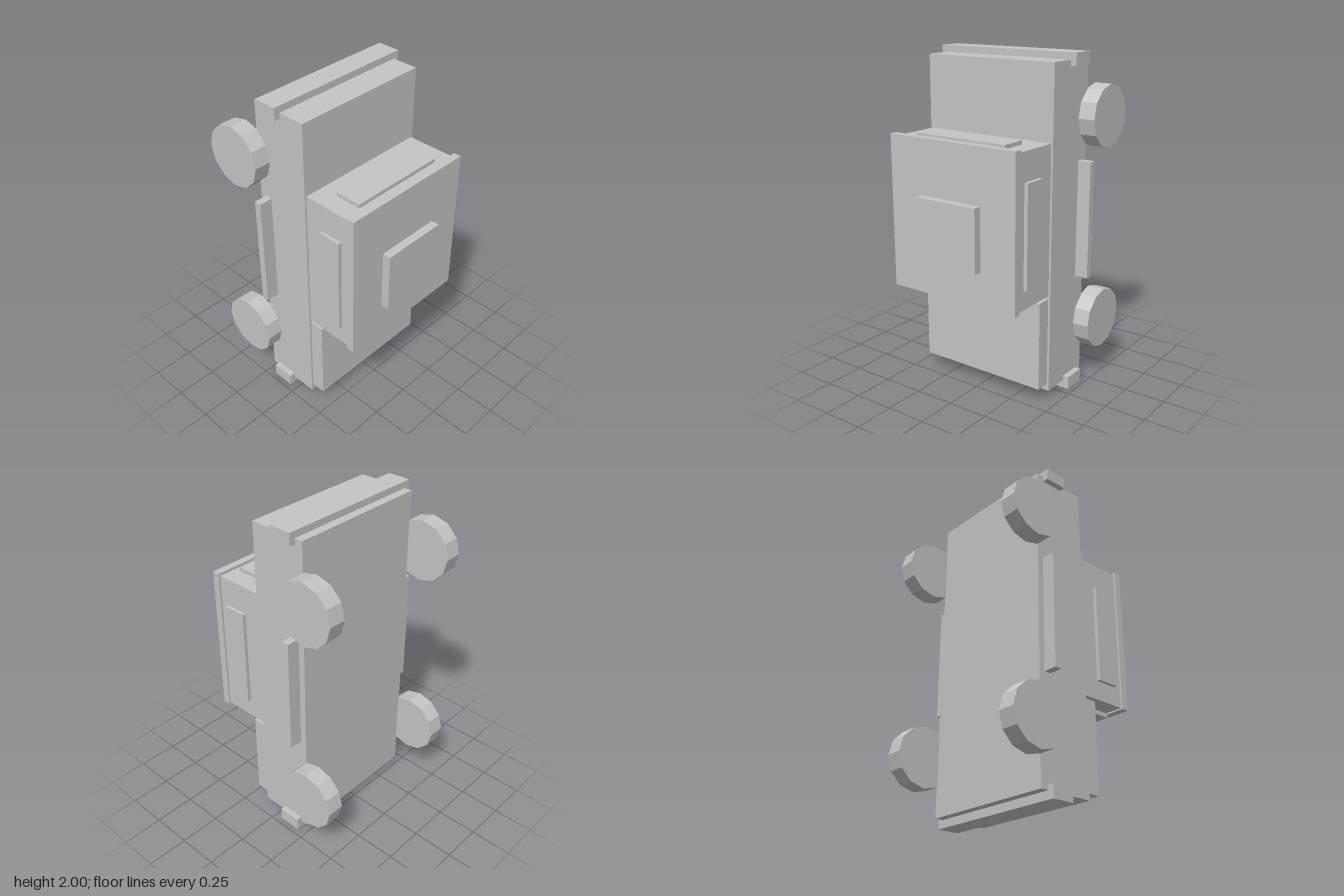
import * as THREE from 'three';

export function createModel() {
  const model = new THREE.Group();
  model.name = 'uprightCar';
  const grey = new THREE.MeshStandardMaterial({ color: 0xc4c4c4 });
  grey.name = 'plain grey';

  // Box given by its limits on each axis
  function box(name, [x0, x1], [y0, y1], [z0, z1]) {
    const mesh = new THREE.Mesh(new THREE.BoxGeometry(x1 - x0, y1 - y0, z1 - z0), grey);
    mesh.position.set((x0 + x1) / 2, (y0 + y1) / 2, (z0 + z1) / 2);
    mesh.name = name;
    model.add(mesh);
  }
  const centred = (name, half, y, z) => box(name, [-half, half], y, z);

  // Car stands on its nose: roof towards +z, wheels towards -z
  centred('body', 0.43, [0.048, 1.96], [-0.24, 0.112]);
  centred('bonnet', 0.417, [0.09, 0.626], [0.112, 0.2]);
  centred('cabin', 0.418, [0.645, 1.527], [0.112, 0.42]);
  centred('roof', 0.43, [0.636, 1.544], [0.418, 0.463]);
  centred('roofHatch', 0.205, [0.848, 1.22], [0.468, 0.518]);
  centred('windscreen', 0.345, [0.596, 0.622], [0.21, 0.382]);
  centred('rearWindow', 0.305, [1.522, 1.55], [0.225, 0.382]);
  centred('frontBumper', 0.466, [0, 0.078], [-0.19, -0.05]);
  centred('rearBumper', 0.466, [1.928, 2], [-0.19, -0.05]);

  // Twelve-sided wheel, axle along x
  const wheelGeometry = new THREE.CylinderGeometry(0.184, 0.184, 0.106, 12).toNonIndexed();
  wheelGeometry.rotateZ(Math.PI / 2);
  wheelGeometry.computeVertexNormals();

  for (const [side, s] of [['left', 1], ['right', -1]]) {
    const span = (a, b) => (s > 0 ? [a, b] : [-b, -a]);
    box(side + 'SideWindow', span(0.41, 0.44), [0.76, 1.36], [0.225, 0.365]);
    box(side + 'RunningBoard', span(0.425, 0.511), [0.69, 1.387], [-0.202, -0.158]);
    for (const [end, y] of [['Front', 0.388], ['Rear', 1.628]]) {
      const wheel = new THREE.Mesh(wheelGeometry, grey);
      wheel.position.set(s * 0.478, y, -0.332);
      wheel.name = side + end + 'Wheel';
      model.add(wheel);
    }
  }
  return model;
}
